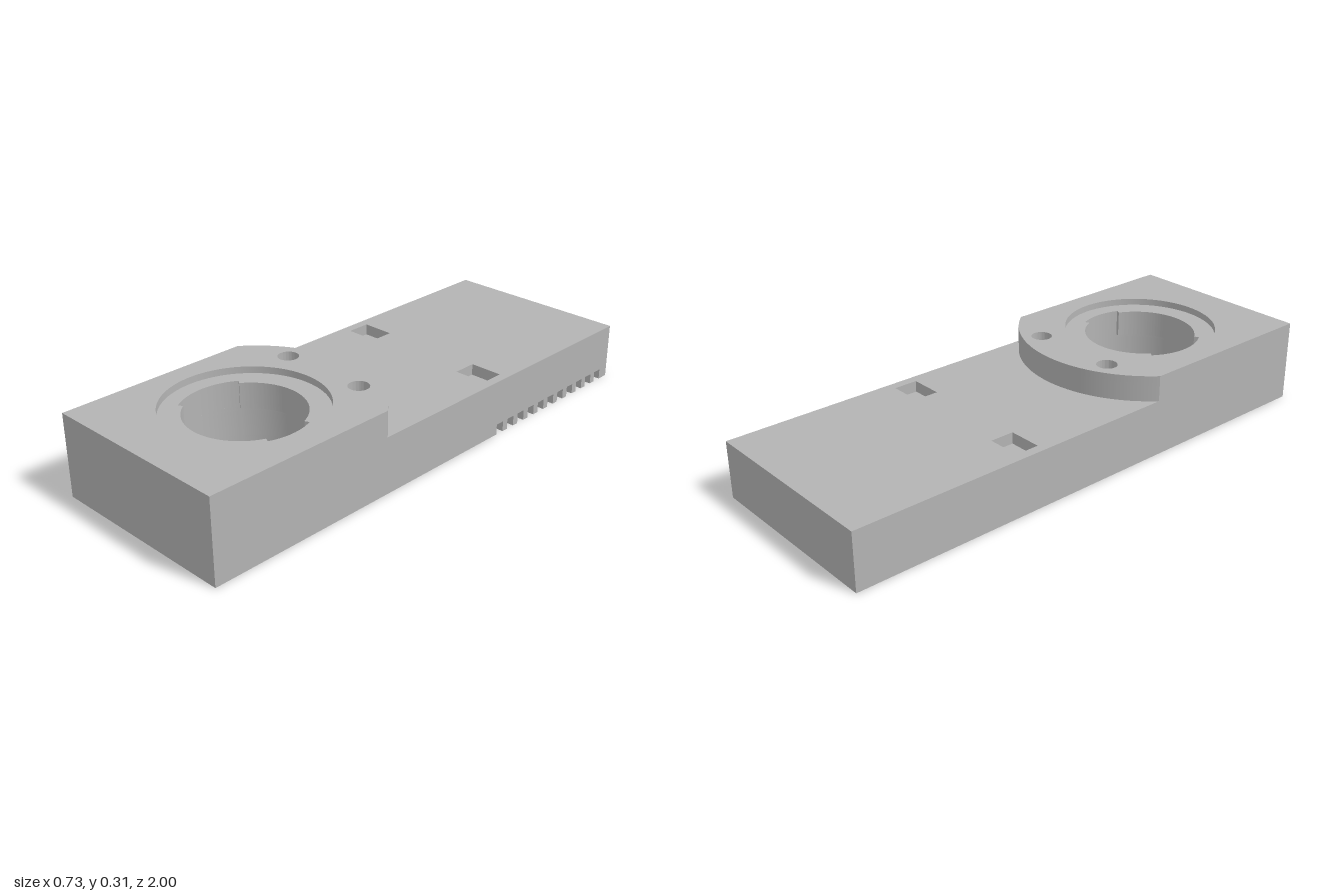
import * as THREE from 'three';
import { toCreasedNormals } from 'three/addons/utils/BufferGeometryUtils.js';

const HALF_W = 0.365, HALF_L = 1, WALL = 0.06;
const BORE_Z = 0.555, LIP_R = 0.207, BORE_R = 0.225;
const RECESS_R = 0.283, PAD_R = 0.46;
const rad = THREE.MathUtils.degToRad;

// Plan outlines: shape x is model x, shape y is model z
function rect(Type, x0, z0, x1, z1) {
  return new Type([[x0, z0], [x1, z0], [x1, z1], [x0, z1]].map(([x, z]) => new THREE.Vector2(x, z)));
}

function circle(Type, x, z, r) {
  const c = new Type();
  c.absarc(x, z, r, 0, Math.PI * 2, false);
  return c;
}

// Bore with a wider entry notch on each side
function notchedBore() {
  const p = new THREE.Path();
  const arc = (r, a, b) => p.absarc(0, BORE_Z, r, rad(a), rad(b), false);
  arc(BORE_R, -23, 23);
  arc(LIP_R, 23, 145);
  arc(BORE_R, 145, 215);
  arc(LIP_R, 215, 337);
  p.closePath();
  return p;
}

export function createModel() {
  const grey = new THREE.MeshStandardMaterial({ color: 0xb3b3b3 });
  grey.name = 'plain grey';
  const model = new THREE.Group();
  model.name = 'mountingHousing';

  // Upright slab between two heights, cut by the given holes
  function slab(name, shape, y0, y1, holes = []) {
    shape.holes.push(...holes);
    let geo = new THREE.ExtrudeGeometry(shape, { depth: y1 - y0, bevelEnabled: false, curveSegments: 64 });
    geo.rotateX(Math.PI / 2).translate(0, y1, 0);
    geo = toCreasedNormals(geo, 0.5);
    const mesh = new THREE.Mesh(geo, grey);
    mesh.name = name;
    model.add(mesh);
  }

  const plate = () => rect(THREE.Shape, -HALF_W, -HALF_L, HALF_W, HALF_L);
  const wideBore = () => circle(THREE.Path, 0, BORE_Z, BORE_R);
  const pockets = () => [-1, 1].map(s => rect(THREE.Path, s * 0.205, -0.35, s * 0.33, -0.26));
  const screwHoles = () => [-1, 1].map(s => circle(THREE.Path, s * 0.172, 0.208, 0.038));

  // Lower rim, left open along the vented side
  const slots = 11, pitch = 0.0615, slotW = 0.036, slotH = 0.04, ceiling = 0.075;
  const ventFront = -0.303, ventBack = ventFront - (slots - 1) * pitch - slotW;
  const ix = HALF_W - WALL, iz = HALF_L - WALL;
  slab('lowerRim', new THREE.Shape([
    [HALF_W, ventFront], [HALF_W, HALF_L], [-HALF_W, HALF_L], [-HALF_W, -HALF_L],
    [HALF_W, -HALF_L], [HALF_W, ventBack], [ix, ventBack], [ix, -iz],
    [-ix, -iz], [-ix, iz], [ix, iz], [ix, ventFront],
  ].map(([x, z]) => new THREE.Vector2(x, z))), 0, slotH);

  // Teeth between the vent slots
  for (let i = 0; i < slots - 1; i++) {
    const z = ventFront - slotW - i * pitch;
    slab('ventTooth', rect(THREE.Shape, ix, z - (pitch - slotW), HALF_W, z), 0, slotH);
  }
  slab('upperRim', plate(), slotH, ceiling, [rect(THREE.Path, -ix, -iz, ix, iz)]);

  // Collar around the bore inside the cavity
  slab('boreCollar', circle(THREE.Shape, 0, BORE_Z, 0.287), 0, ceiling, [wideBore()]);

  // Main deck with two blind pockets
  slab('deckBase', plate(), ceiling, 0.17, [wideBore()]);
  slab('deckMiddle', plate(), 0.17, 0.185, [wideBore(), ...pockets()]);
  slab('deckTop', plate(), 0.185, 0.212, [notchedBore(), ...pockets()]);

  // Stops under the bore lip
  for (const [a, b] of [[112, 145], [-56, -23]]) {
    const s = new THREE.Shape();
    s.absarc(0, BORE_Z, BORE_R + 0.002, rad(a), rad(b), false);
    s.absarc(0, BORE_Z, LIP_R, rad(b), rad(a), true);
    slab('boreStop', s, 0.155, 0.185);
  }

  // Raised pad with a curved back edge
  const pad = () => {
    const s = new THREE.Shape();
    const a = Math.acos(HALF_W / PAD_R);
    s.moveTo(HALF_W, HALF_L);
    s.lineTo(-HALF_W, HALF_L);
    s.absarc(0, BORE_Z, PAD_R, Math.PI + a, Math.PI * 2 - a, false);
    s.closePath();
    return s;
  };
  slab('padBase', pad(), 0.212, 0.283, [notchedBore(), ...screwHoles()]);
  slab('padTop', pad(), 0.283, 0.308, [circle(THREE.Path, 0, BORE_Z, RECESS_R), ...screwHoles()]);

  return model;
}
